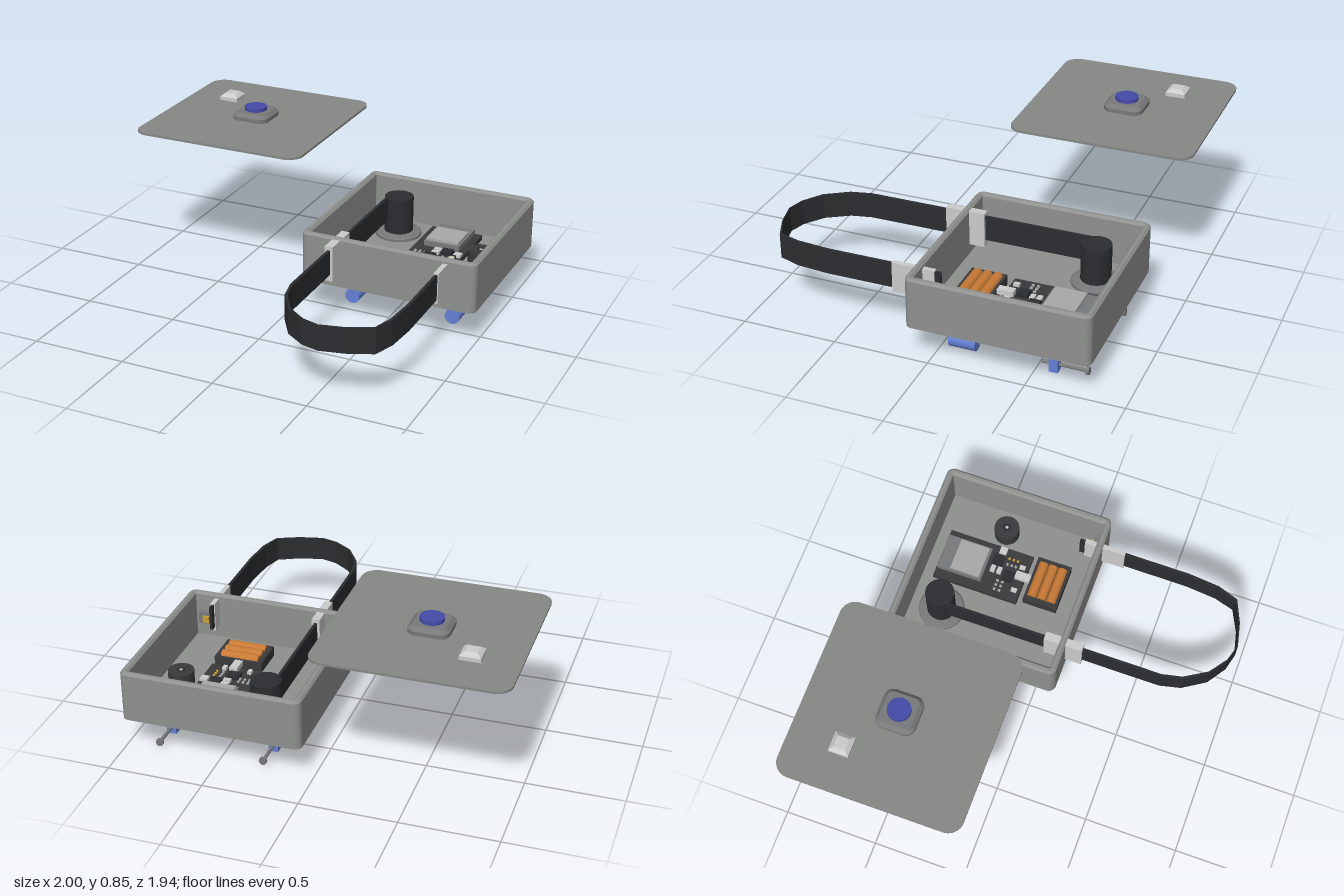
import * as THREE from 'three';

const mat = (color, side = THREE.FrontSide) => new THREE.MeshStandardMaterial({ color, side });
const M = {
  shell: mat(0x8f918f), lid: mat(0x868886), light: mat(0xcccccc), mid: mat(0x77797a),
  dark: mat(0x2b2d30), black: mat(0x3a3a3c), blue: mat(0x6480d4), button: mat(0x454aa8),
  orange: mat(0xc87a35), gold: mat(0xc9a13b), screen: mat(0xa8a8a8),
};

function add(parent, name, geo, material, x = 0, y = 0, z = 0) {
  const m = new THREE.Mesh(geo, material);
  m.name = name;
  m.position.set(x, y, z);
  parent.add(m);
  return m;
}

// Box given by its limits
function block(parent, name, material, x0, x1, y0, y1, z0, z1) {
  return add(parent, name, new THREE.BoxGeometry(x1 - x0, y1 - y0, z1 - z0), material,
    (x0 + x1) / 2, (y0 + y1) / 2, (z0 + z1) / 2);
}

function group(parent, name, x = 0, y = 0, z = 0) {
  const g = new THREE.Group();
  g.name = name;
  g.position.set(x, y, z);
  parent.add(g);
  return g;
}

function roundRect(w, d, r) {
  const s = new THREE.Shape(), a = w / 2, b = d / 2;
  s.moveTo(-a + r, -b);
  s.lineTo(a - r, -b).absarc(a - r, -b + r, r, -Math.PI / 2, 0);
  s.lineTo(a, b - r).absarc(a - r, b - r, r, 0, Math.PI / 2);
  s.lineTo(-a + r, b).absarc(-a + r, b - r, r, Math.PI / 2, Math.PI);
  s.lineTo(-a, -b + r).absarc(-a + r, -b + r, r, Math.PI, Math.PI * 1.5);
  return s;
}

// Extrude a plan shape upwards from y = 0
function plate(shape, h, bevel = 0) {
  const g = new THREE.ExtrudeGeometry(shape, {
    depth: h - bevel, bevelEnabled: bevel > 0, bevelSize: bevel, bevelThickness: bevel,
    bevelOffset: -bevel, bevelSegments: 1, curveSegments: 8,
  });
  return g.rotateX(-Math.PI / 2);
}

function buildLid(root) {
  const lid = group(root, 'lid', -0.515, 0.775, -0.485);
  add(lid, 'lidPlate', plate(roundRect(0.97, 0.97, 0.08), 0.012), M.lid);
  add(lid, 'buttonBase', plate(roundRect(0.208, 0.208, 0.05), 0.045, 0.02), M.mid, 0.005, 0.008, -0.005);
  add(lid, 'pushButton', new THREE.CylinderGeometry(0.06, 0.06, 0.03, 32), M.button, 0.005, 0.058, -0.005);
  // Small square lamp with a sloped top
  block(lid, 'lampBase', M.light, -0.297, -0.192, 0.01, 0.033, -0.262, -0.157);
  const r = Math.SQRT1_2;
  const cap = new THREE.CylinderGeometry(0.06 * r, 0.105 * r, 0.018, 4, 1).toNonIndexed();
  cap.rotateY(Math.PI / 4).computeVertexNormals();
  add(lid, 'lampCap', cap, M.light, -0.2445, 0.042, -0.2095);
}

function buildCase(root) {
  const box = group(root, 'case', 0.525, 0.18, -0.35);
  const wall = roundRect(0.95, 0.94, 0.04);
  wall.holes.push(roundRect(0.87, 0.865, 0.004));
  add(box, 'caseFloor', plate(roundRect(0.95, 0.94, 0.04), 0.015), M.shell);
  add(box, 'caseWalls', plate(wall, 0.255, 0.012), M.shell, 0, 0.015, 0);
}

function buildStrap(root) {
  const path = [[0.25, -0.57], [0.25, 0.64], [0.275, 0.75], [0.35, 0.87], [0.45, 0.94], [0.54, 0.965],
    [0.67, 0.935], [0.79, 0.88], [0.825, 0.77], [0.84, 0.6], [0.84, -0.01]];
  // Band follows the loop and is thinnest where it crosses sideways
  const left = [], right = [];
  path.forEach(([x, z], i) => {
    const a = path[Math.max(i - 1, 0)], b = path[Math.min(i + 1, path.length - 1)];
    const t = new THREE.Vector2(b[0] - a[0], b[1] - a[1]).normalize();
    const h = Math.max(0.002, 0.008 * Math.abs(t.y));
    left.push(new THREE.Vector2(x - t.y * h, -(z + t.x * h)));
    right.unshift(new THREE.Vector2(x + t.y * h, -(z - t.x * h)));
  });
  add(root, 'strap', plate(new THREE.Shape([...left, ...right]), 0.135), M.dark, 0, 0.285, 0);
  // Guides on both sides of each band
  const guides = group(root, 'strapGuides');
  const specs = [[0.25, 0.022, 0, 0.21, 0.25, 0.44], [0.84, 0.013, 0.02, 0.245, 0.265, 0.427]];
  for (const [x, w, z0, z1, y0, y1] of specs) {
    block(guides, 'guideOuter', M.light, x - w, x + w, y0, y1, 0.1, z1);
    block(guides, 'guideInner', M.light, x - w, x + w, y0, y1, z0, 0.1);
  }
  // Small sensor beside the free end of the band
  block(root, 'sensorBoard', M.mid, 0.86, 0.935, 0.28, 0.345, 0.05, 0.08);
  block(root, 'sensorContact', M.gold, 0.875, 0.91, 0.29, 0.33, 0.04, 0.05);
}

function buildReel(root) {
  const reel = group(root, 'reel', 0.298, 0.19, -0.61);
  const flange = [[0, 0], [0.125, 0], [0.125, 0.018], [0.118, 0.025], [0.085, 0.03], [0, 0.03]]
    .flatMap((p) => [new THREE.Vector2(...p), new THREE.Vector2(...p)]);
  add(reel, 'reelFlange', new THREE.LatheGeometry(flange, 40), M.mid);
  add(reel, 'reelDrum', new THREE.CylinderGeometry(0.078, 0.078, 0.2, 32), M.dark, 0, 0.125, 0);
}

function buildElectronics(root) {
  const pcb = group(root, 'circuitBoard');
  block(pcb, 'board', M.black, 0.455, 0.743, 0.19, 0.222, -0.72, -0.24);
  block(pcb, 'radioModule', M.mid, 0.505, 0.702, 0.222, 0.25, -0.713, -0.463);
  block(pcb, 'moduleShield', M.screen, 0.513, 0.692, 0.25, 0.263, -0.64, -0.475);
  block(pcb, 'powerSocket', M.light, 0.583, 0.626, 0.222, 0.25, -0.295, -0.21);
  block(pcb, 'chip', M.dark, 0.626, 0.684, 0.222, 0.24, -0.443, -0.385);
  block(pcb, 'chip', M.dark, 0.551, 0.615, 0.222, 0.24, -0.364, -0.305);
  for (const [x, z, w, d] of [[0.6, -0.425, 0.04, 0.025], [0.6, -0.388, 0.04, 0.025], [0.718, -0.405, 0.04, 0.04],
    [0.518, -0.274, 0.022, 0.032], [0.658, -0.274, 0.022, 0.032]]) {
    block(pcb, 'connector', M.light, x - w / 2, x + w / 2, 0.222, 0.238, z - d / 2, z + d / 2);
  }
  for (let i = 0; i < 6; i++) {
    const x = 0.485 + (i % 3) * 0.026, z = -0.385 + Math.floor(i / 3) * 0.028;
    block(pcb, 'resistor', M.screen, x, x + 0.012, 0.222, 0.23, z, z + 0.014);
    const u = 0.645 + (i % 2) * 0.035, v = -0.365 + Math.floor(i / 2) * 0.024;
    block(pcb, 'capacitor', i % 2 ? M.gold : M.screen, u, u + 0.012, 0.222, 0.23, v, v + 0.012);
  }

  // Battery holder with three cells
  const pack = group(root, 'batteryPack');
  block(pack, 'holder', M.black, 0.48, 0.742, 0.19, 0.25, -0.21, -0.02);
  for (let i = 0; i < 3; i++) {
    const cell = new THREE.CylinderGeometry(0.027, 0.027, 0.205, 20).rotateZ(Math.PI / 2);
    add(pack, 'cell', cell, M.orange, 0.61, 0.245, -0.169 + i * 0.054);
  }

  // Round buzzer with a sound hole
  const buzzer = group(root, 'buzzer', 0.837, 0.19, -0.43);
  add(buzzer, 'buzzerBody', new THREE.CylinderGeometry(0.068, 0.068, 0.085, 32), M.black, 0, 0.0425, 0);
  add(buzzer, 'buzzerRing', new THREE.TorusGeometry(0.018, 0.004, 8, 20).rotateX(Math.PI / 2), M.dark, 0, 0.086, 0);
  add(buzzer, 'buzzerHole', new THREE.CylinderGeometry(0.008, 0.008, 0.004, 16), M.light, 0, 0.086, 0);
}

function buildClamp(root, x) {
  const clamp = group(root, 'clamp', x, 0, 0);
  // Side profile as (distance to the back, height)
  const s = new THREE.Shape();
  s.moveTo(0.105, 0.085);
  s.lineTo(0.182, 0.085).lineTo(0.185, 0.118).quadraticCurveTo(0.188, 0.135, 0.21, 0.135);
  s.lineTo(0.53, 0.135).quadraticCurveTo(0.575, 0.13, 0.568, 0.075);
  s.lineTo(0.61, 0.075).quadraticCurveTo(0.67, 0.1, 0.682, 0.16);
  s.lineTo(0.64, 0.18).lineTo(0.1, 0.18).lineTo(0.06, 0.158);
  s.quadraticCurveTo(0.1, 0.145, 0.105, 0.085);
  const frame = new THREE.ExtrudeGeometry(s, {
    depth: 0.04, bevelSize: 0.006, bevelThickness: 0.006, bevelOffset: -0.006, bevelSegments: 1, curveSegments: 8,
  });
  add(clamp, 'clampFrame', frame.rotateY(Math.PI / 2), M.blue, -0.02, 0, 0);
  const rod = (name, r, z0, z1, y, material) => add(clamp, name,
    new THREE.CylinderGeometry(r, r, z1 - z0, 24).rotateX(Math.PI / 2), material, 0, y, (z0 + z1) / 2);
  rod('clampPad', 0.04, -0.19, -0.05, 0.053, M.blue);
  block(clamp, 'screwNut', M.blue, -0.025, 0.025, 0, 0.08, -0.612, -0.566);
  rod('screw', 0.009, -0.76, -0.525, 0.037, M.mid);
  rod('screwHead', 0.02, -0.765, -0.75, 0.037, M.mid);
}

export function createModel() {
  const root = new THREE.Group();
  root.name = 'strapDevice';
  buildLid(root);
  buildCase(root);
  buildStrap(root);
  buildReel(root);
  buildElectronics(root);
  for (const x of [0.27, 0.826]) buildClamp(root, x);
  return root;
}
